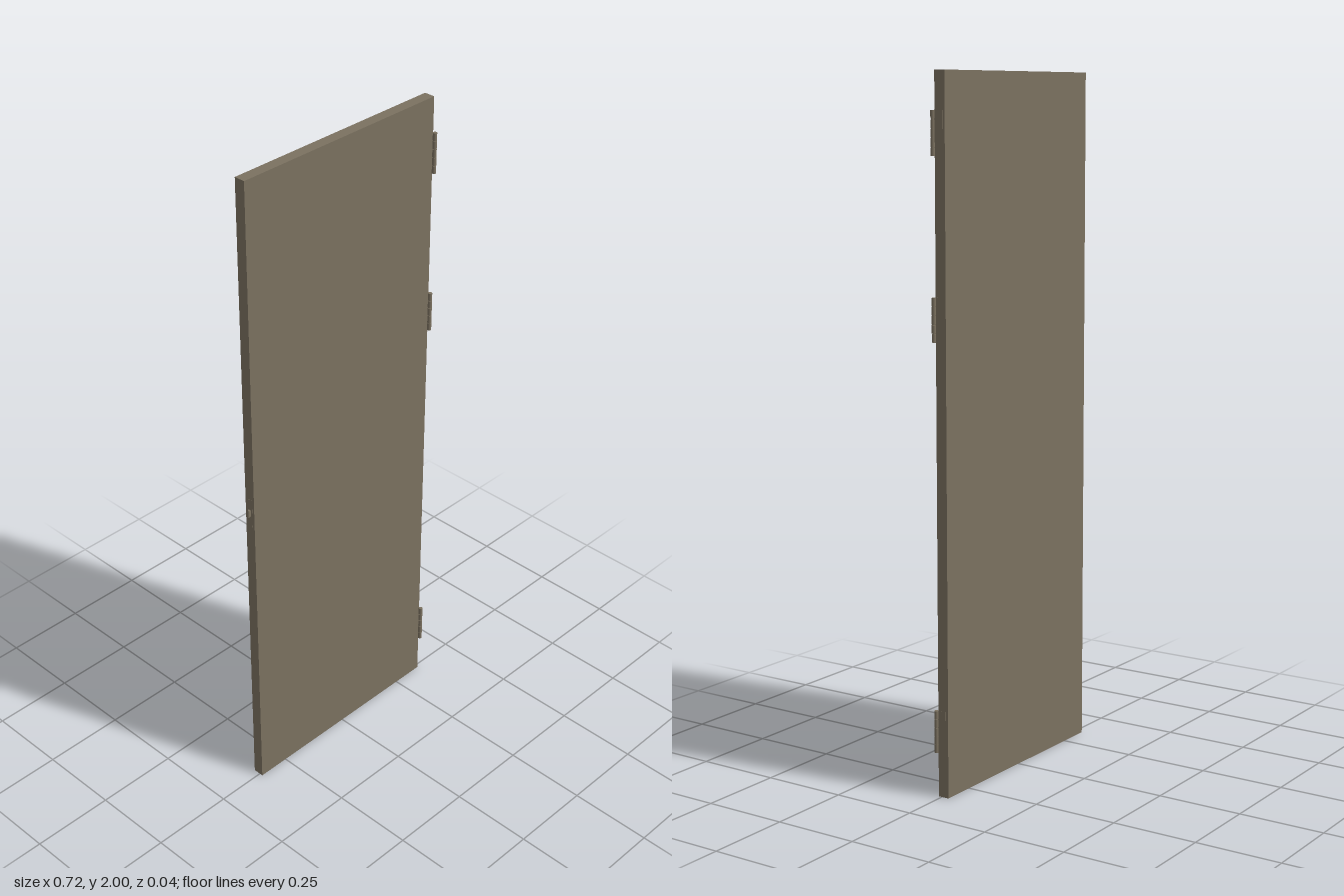
import * as THREE from 'three';

export function createModel() {
  const door = new THREE.Group();
  door.name = 'door';
  const paint = new THREE.MeshStandardMaterial({ color: 0x7b7160 });
  paint.name = 'taupe paint';

  const add = (name, geometry, x, y, z, parent = door) => {
    const mesh = new THREE.Mesh(geometry, paint);
    mesh.name = name;
    mesh.position.set(x, y, z);
    parent.add(mesh);
    return mesh;
  };

  // Flat door leaf
  add('doorPanel', new THREE.BoxGeometry(0.699, 2, 0.033), 0.0005, 1, -0.006);

  // Three hinges: a barrel of five knuckles on a pin, with a thin leaf on the door edge
  const height = 0.122, knuckles = 5, gap = 0.0015;
  const pitch = height / knuckles;
  const knuckle = new THREE.CylinderGeometry(0.006, 0.006, pitch - gap, 16);
  const pin = new THREE.CylinderGeometry(0.0045, 0.0045, height - gap, 12);
  const leaf = new THREE.BoxGeometry(0.001, height, 0.026);
  for (const y of [0.188, 1.338, 1.835]) {
    const hinge = new THREE.Group();
    hinge.name = 'hinge';
    hinge.position.set(0.352, y, 0.0155);
    door.add(hinge);
    for (let i = 0; i < knuckles; i++) {
      add('hingeKnuckle', knuckle, 0, (i - (knuckles - 1) / 2) * pitch, 0, hinge);
    }
    add('hingePin', pin, 0, 0, 0, hinge);
    add('hingeLeaf', leaf, -0.002, 0, -0.0175, hinge);
  }

  // Latch plate and wedge-shaped bolt on the free edge
  add('latchPlate', new THREE.BoxGeometry(0.001, 0.09, 0.018), -0.349, 0.981, -0.006);
  const wedge = new THREE.Shape([
    new THREE.Vector2(-0.359, 0.002),
    new THREE.Vector2(-0.348, 0.002),
    new THREE.Vector2(-0.348, 0.012),
    new THREE.Vector2(-0.351, 0.012),
  ]);
  const bolt = new THREE.ExtrudeGeometry(wedge, { depth: 0.02, bevelEnabled: false });
  bolt.rotateX(-Math.PI / 2);
  add('latchBolt', bolt, 0, 0.971, 0);

  return door;
}
